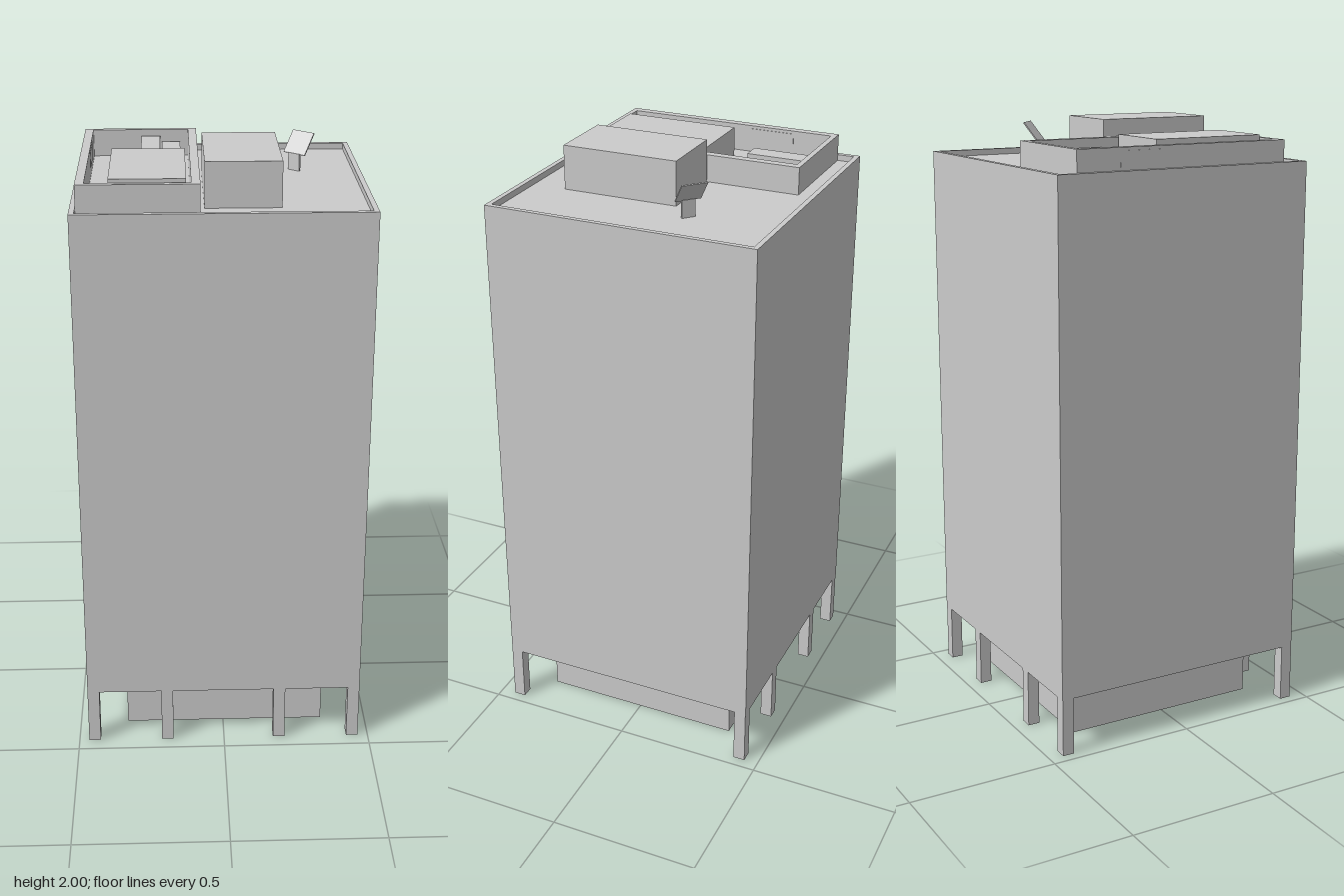
import * as THREE from 'three';

const grey = new THREE.MeshStandardMaterial({ color: 0xcccccc, side: THREE.DoubleSide });
const white = new THREE.MeshStandardMaterial({ color: 0xffffff });

export function createModel() {
  const model = new THREE.Group();
  const add = (name, geometry, material = grey) => {
    const mesh = new THREE.Mesh(geometry, material);
    mesh.name = name;
    model.add(mesh);
    return mesh;
  };
  // Box given by its limits on each axis
  const box = (name, x0, x1, y0, y1, z0, z1, material) => {
    const mesh = add(name, new THREE.BoxGeometry(x1 - x0, y1 - y0, z1 - z0), material);
    mesh.position.set((x0 + x1) / 2, (y0 + y1) / 2, (z0 + z1) / 2);
    return mesh;
  };
  // Four walls, open above and below, with thickness tx and tz
  const walls = (name, x0, x1, y0, y1, z0, z1, tx, tz = tx) => {
    const rect = (P, a, b, c, d) => new P([[a, c], [b, c], [b, d], [a, d]].map(p => new THREE.Vector2(...p)));
    const shape = rect(THREE.Shape, x0, x1, -z1, -z0);
    shape.holes.push(rect(THREE.Path, x0 + tx, x1 - tx, -z1 + tz, -z0 - tz));
    const geometry = new THREE.ExtrudeGeometry(shape, { depth: y1 - y0, bevelEnabled: false });
    add(name, geometry.rotateX(-Math.PI / 2).translate(0, y0, 0));
  };

  // Tower shell, whose top forms the parapet, and the sunken roof
  walls('towerWalls', -0.467, 0.465, 0.195, 1.875, -0.453, 0.45, 0.017);
  box('roof', -0.455, 0.455, 1.845, 1.855, -0.44, 0.44);

  // Recessed ground floor
  walls('groundFloorWalls', -0.335, 0.345, 0, 0.2, -0.345, 0.34, 0.004);

  // Columns: four along the front and four along the back
  for (const z of [-0.432, 0.43])
    for (const x of [-0.447, -0.195, 0.19, 0.445])
      box('column', x - 0.02, x + 0.02, 0, 0.2, z - 0.02, z + 0.02);

  // Rooftop enclosure with a pale panel in its outer wall
  walls('plantEnclosure', -0.45, -0.07, 1.855, 1.945, -0.38, 0.372, 0.028, 0.018);
  box('enclosurePanel', -0.452, -0.42, 1.885, 1.935, -0.23, -0.08, white);

  // Rooftop machinery and stair house
  box('plantRoom', -0.35, -0.113, 1.855, 1.955, -0.045, 0.345);
  box('airUnit', -0.257, -0.193, 1.855, 1.925, -0.353, -0.155);
  box('airUnit', -0.188, -0.125, 1.855, 1.905, -0.353, -0.155);
  box('stairHouse', -0.057, 0.182, 1.855, 2, -0.07, 0.32);

  // Small tilted panel on a post
  const turn = -Math.atan2(0.058, 0.065);
  const post = add('panelPost', new THREE.BoxGeometry(0.045, 0.06, 0.008));
  post.position.set(0.254, 1.882, -0.143);
  post.rotation.y = turn;
  const panel = add('tiltedPanel', new THREE.BoxGeometry(0.087, 0.083, 0.004));
  panel.position.set(0.27, 1.943, -0.16);
  panel.rotation.set(-Math.atan2(0.05, 0.065), turn, 0, 'YXZ');

  return model;
}
